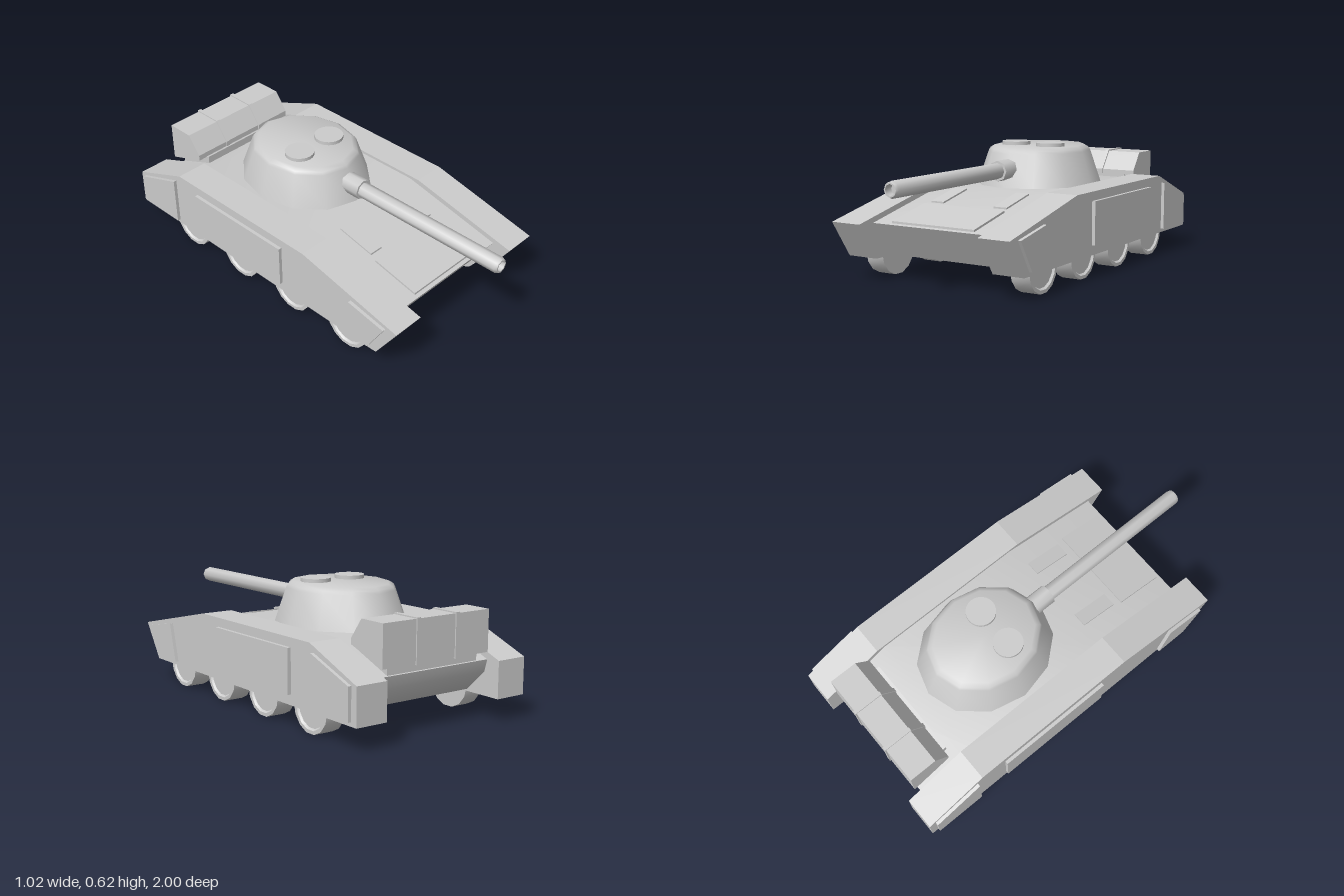
import * as THREE from 'three';
import { toCreasedNormals } from 'three/addons/utils/BufferGeometryUtils.js';

const grey = new THREE.MeshStandardMaterial({ color: 0xcccccc });

export function createModel() {
  const model = new THREE.Group();
  model.name = 'tank';

  const add = (name, geometry, parent = model) => {
    const mesh = new THREE.Mesh(geometry, grey);
    mesh.name = name;
    parent.add(mesh);
    return mesh;
  };

  // Extrudes a side profile of [z, y] points between x0 and x1
  const slab = (points, x0, x1, crease = 0.2) => {
    const shape = new THREE.Shape(points.map(([z, y]) => new THREE.Vector2(z, y)));
    const g = new THREE.ExtrudeGeometry(shape, { depth: x1 - x0, bevelEnabled: false });
    g.rotateY(-Math.PI / 2).translate(x1, 0, 0);
    return toCreasedNormals(g, crease);
  };

  // Lathe around y with creased normals; profile runs bottom to top
  const lathe = (profile, sides, crease = 0.6) =>
    toCreasedNormals(new THREE.LatheGeometry(profile.map(([r, y]) => new THREE.Vector2(r, y)), sides), crease);

  // Central hull with an undercut nose and tail
  add('hull', slab([
    [0.61, 0.125], [0.72, 0.29], [0.175, 0.41], [-0.624, 0.41],
    [-0.926, 0.29], [-0.91, 0.23], [-0.8, 0.125],
  ], -0.33, 0.33, 0.9));

  // Side sponsons, armour panels and wheels
  const sponson = [[0.7, 0.115], [0.82, 0.295], [0.23, 0.425], [-0.67, 0.425], [-1, 0.295], [-1, 0.115]];
  const panels = {
    frontPanel: [[0.66, 0.135], [0.755, 0.29], [0.54, 0.33], [0.49, 0.135]],
    middlePanel: [[0.085, 0.165], [0.085, 0.38], [-0.53, 0.38], [-0.53, 0.165]],
    rearPanel: [[-0.7, 0.135], [-0.7, 0.385], [-0.965, 0.29], [-0.965, 0.135]],
  };
  const wheelProfile = [
    [0, -0.05], [0.125, -0.05], [0.125, 0.05], [0.108, 0.05], [0.1, 0.04], [0, 0.04],
  ];
  for (const side of [1, -1]) {
    const group = new THREE.Group();
    group.name = side > 0 ? 'leftSide' : 'rightSide';
    model.add(group);
    const range = (a, b) => (side > 0 ? [a, b] : [-b, -a]);
    add('sponson', slab(sponson, ...range(0.33, 0.495)), group);
    for (const [name, points] of Object.entries(panels)) {
      add(name, slab(points, ...range(0.49, 0.512)), group);
    }
    for (const z of [0.487, 0.112, -0.26, -0.635]) {
      const wheel = add('wheel', lathe(wheelProfile, 14), group);
      wheel.rotation.z = -side * Math.PI / 2;
      wheel.position.set(side * 0.415, 0.125, z);
    }
  }

  // Raised plates that follow the slope of the front deck
  const deckY = (z) => 0.41 - (z - 0.175) * 0.22;
  const plate = (name, x0, x1, z0, z1, h) => add(name, slab([
    [z1, deckY(z1) - 0.01], [z1, deckY(z1) + h], [z0, deckY(z0) + h], [z0, deckY(z0) - 0.01],
  ], x0, x1));
  plate('frontPlate', -0.232, 0.232, 0.45, 0.7, 0.01);
  plate('leftDeckHatch', 0.145, 0.218, 0.21, 0.41, 0.008);
  plate('rightDeckHatch', -0.218, -0.145, 0.21, 0.41, 0.008);

  // Oval twelve-sided turret with two round hatches
  const turret = new THREE.Group();
  turret.name = 'turret';
  model.add(turret);
  const dome = add('turretShell', lathe([
    [0, 0.4], [0.312, 0.4], [0.255, 0.575], [0.247, 0.59], [0.225, 0.604], [0, 0.604],
  ], 12, 0.75), turret);
  dome.scale.z = 1.16;
  dome.position.z = -0.25;
  for (const x of [-0.103, 0.103]) {
    const hatch = add('turretHatch', lathe([[0, 0], [0.074, 0], [0.074, 0.022], [0, 0.022]], 24), turret);
    hatch.position.set(x, 0.6, -0.185);
  }

  // Gun: collar and hollow-muzzled barrel
  const collar = add('gunCollar', lathe([[0, -0.05], [0.052, -0.05], [0.052, 0.155], [0, 0.155]], 8, 0.9), turret);
  const barrel = add('gunBarrel', lathe([
    [0.04, 0.1], [0.04, 0.985], [0.034, 1], [0.027, 1], [0.025, 0.96], [0, 0.96],
  ], 8, 0.9), turret);
  for (const part of [collar, barrel]) {
    part.rotation.x = Math.PI / 2;
    part.position.y = 0.5;
  }

  // Rear stowage bin on a sloping bracket, held by two straps
  const bin = [[-0.73, 0.405], [-0.73, 0.435], [-0.8, 0.53], [-0.945, 0.53], [-0.945, 0.33]];
  add('stowageBin', slab(bin, -0.312, 0.312));
  add('binBracket', slab([[-0.71, 0.37], [-0.71, 0.415], [-0.92, 0.34], [-0.92, 0.29]], -0.265, 0.265));
  const strap = [[-0.724, 0.4], [-0.724, 0.437], [-0.797, 0.536], [-0.951, 0.536], [-0.951, 0.324]];
  for (const x of [-0.115, 0.115]) add('binStrap', slab(strap, x - 0.01, x + 0.01));

  return model;
}
